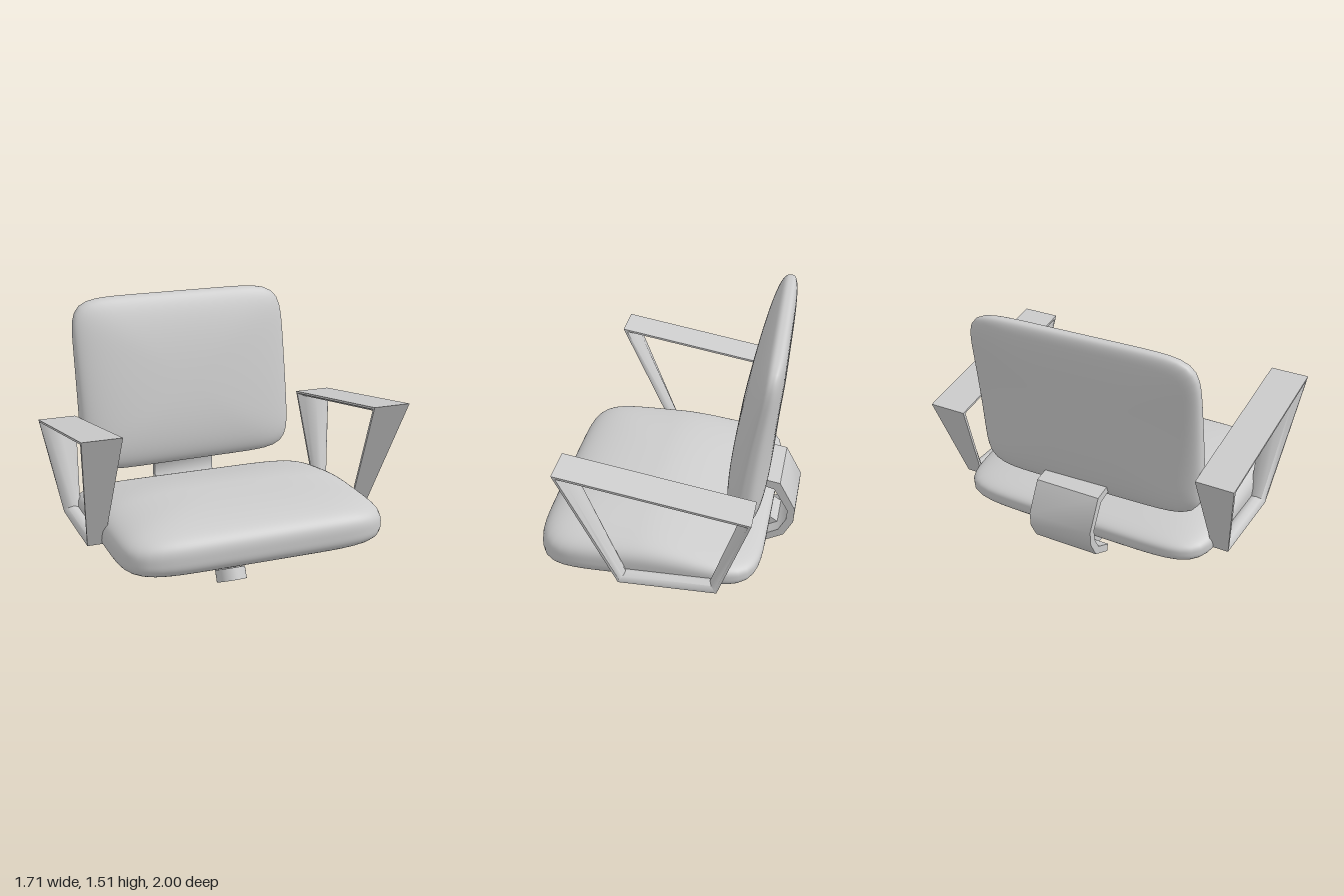
import * as THREE from 'three';
import { mergeVertices, toCreasedNormals } from 'three/addons/utils/BufferGeometryUtils.js';

const material = new THREE.MeshStandardMaterial({ color: 0xcccccc });

function part(name, geometry) {
  const mesh = new THREE.Mesh(geometry, material);
  mesh.name = name;
  return mesh;
}

// Rounded cushion: a sphere pushed out to a squarish plan, then shaped by a rule.
// Unit plan is x/z, unit thickness is y.
function cushion(planPower, edgePower, rule) {
  let geo = new THREE.SphereGeometry(1, 96, 64);
  geo.deleteAttribute('uv');
  geo.deleteAttribute('normal');
  geo = mergeVertices(geo, 1e-5);
  const norm = (a, b, n) => (Math.abs(a) ** n + Math.abs(b) ** n) ** (1 / n);
  const pos = geo.attributes.position;
  for (let i = 0; i < pos.count; i++) {
    const x = pos.getX(i), y = pos.getY(i), z = pos.getZ(i);
    const rho = Math.hypot(x, z);
    const e = norm(rho, y, edgePower);
    const p = rho > 1e-4 ? rho / (norm(x, z, planPower) * e) : 0;
    pos.setXYZ(i, ...rule(x * p, y / e, THREE.MathUtils.clamp(z * p, -1, 1)));
  }
  geo.computeVertexNormals();
  return geo;
}

// Profile given as [z, y] points, extruded across x
function sideExtrude(points, width) {
  const shape = new THREE.Shape(points.map(([z, y]) => new THREE.Vector2(z, y)));
  const geo = new THREE.ExtrudeGeometry(shape, { depth: width, bevelEnabled: false });
  geo.translate(0, 0, -width / 2).rotateY(-Math.PI / 2);
  return toCreasedNormals(geo, 0.7);
}

// Four-sided armrest loop: wide at the top, narrow at the bottom, rounded inside
function armGeometry() {
  const corners = [ // z, y, inner x, outer x
    [0.475, 1.03, 0.675, 0.88], [-0.48, 0.86, 0.675, 0.88],
    [-0.31, 0.37, 0.71, 0.8], [0.19, 0.37, 0.71, 0.8],
  ];
  const section = [ // inset, across
    [0, 0], [0, 1], [0.04, 1], [0.105, 0.82], [0.14, 0.5], [0.105, 0.18], [0.04, 0],
  ];
  const count = section.length;
  const point = (i, j) => {
    const [z, y, x0, x1] = corners[i % 4];
    const [inset, u] = section[j % count];
    return [x0 + (x1 - x0) * u, y + (0.66 - y) * inset, z + (-0.03 - z) * inset];
  };
  const verts = [];
  for (let i = 0; i < 4; i++) {
    for (let j = 0; j < count; j++) {
      const a = point(i, j), b = point(i, j + 1), c = point(i + 1, j + 1), d = point(i + 1, j);
      verts.push(...a, ...b, ...c, ...a, ...c, ...d);
    }
  }
  const geo = new THREE.BufferGeometry();
  geo.setAttribute('position', new THREE.Float32BufferAttribute(verts, 3));
  return toCreasedNormals(geo, 0.9);
}

export function createModel() {
  const chair = new THREE.Group();
  chair.name = 'chair';

  // Seat: full at the front, thinning toward the back
  chair.add(part('seat', cushion(7, 3, (x, y, z) => {
    const k = THREE.MathUtils.smoothstep(z, -1, 0.1);
    const height = y > 0 ? 0.09 + 0.08 * k : 0.115 + 0.025 * k;
    return [x * 0.727, 0.395 + 0.02 * k + y * height, 0.078 + z * 0.58];
  })));

  // Backrest: leans back and gets thinner upward
  const back = part('backrest', cushion(8, 3, (x, y, z) => {
    const t = (1 - z) / 2;
    const centre = -0.37 - 0.14 * t ** 1.4;
    return [x * 0.622, 0.57 + 0.94 * t, centre + y * (0.122 - 0.05 * t)];
  }));
  back.position.x = -0.04;
  back.rotation.y = 0.03;
  chair.add(back);

  // Armrests
  const arm = armGeometry();
  for (const side of [1, -1]) {
    const mesh = part(side > 0 ? 'leftArmrest' : 'rightArmrest', arm);
    mesh.scale.x = side;
    chair.add(mesh);
  }

  // Plate under the seat
  const plate = part('basePlate', new THREE.BoxGeometry(0.55, 0.09, 0.55));
  plate.position.set(0, 0.267, -0.03);
  chair.add(plate);

  // Bent bracket carrying the backrest, with a narrower arm running under the seat
  chair.add(part('backBracket', sideExtrude([
    [-0.46, 0.25], [-0.58, 0.31], [-0.63, 0.4], [-0.635, 0.48], [-0.55, 0.64], [-0.44, 0.66],
    [-0.44, 0.62], [-0.52, 0.6], [-0.595, 0.47], [-0.59, 0.41], [-0.55, 0.34], [-0.45, 0.29],
  ], 0.36)));
  chair.add(part('bracketArm', sideExtrude([
    [-0.2, 0.24], [-0.47, 0.25], [-0.56, 0.32], [-0.5, 0.36], [-0.2, 0.34],
  ], 0.2)));

  // Adjustment knob on a slanted stem
  const knob = new THREE.Group();
  knob.name = 'adjuster';
  const stem = part('knobStem', new THREE.CylinderGeometry(0.03, 0.03, 0.22, 24));
  stem.position.y = 0.13;
  knob.add(stem, part('knobHead', new THREE.CylinderGeometry(0.083, 0.083, 0.068, 32)));
  knob.position.set(0, 0.067, 0.172);
  knob.rotation.x = -0.44;
  chair.add(knob);

  // The whole chair is turned toward its left
  chair.rotation.y = Math.PI / 3;
  const model = new THREE.Group();
  model.name = 'model';
  model.add(chair);
  return model;
}
